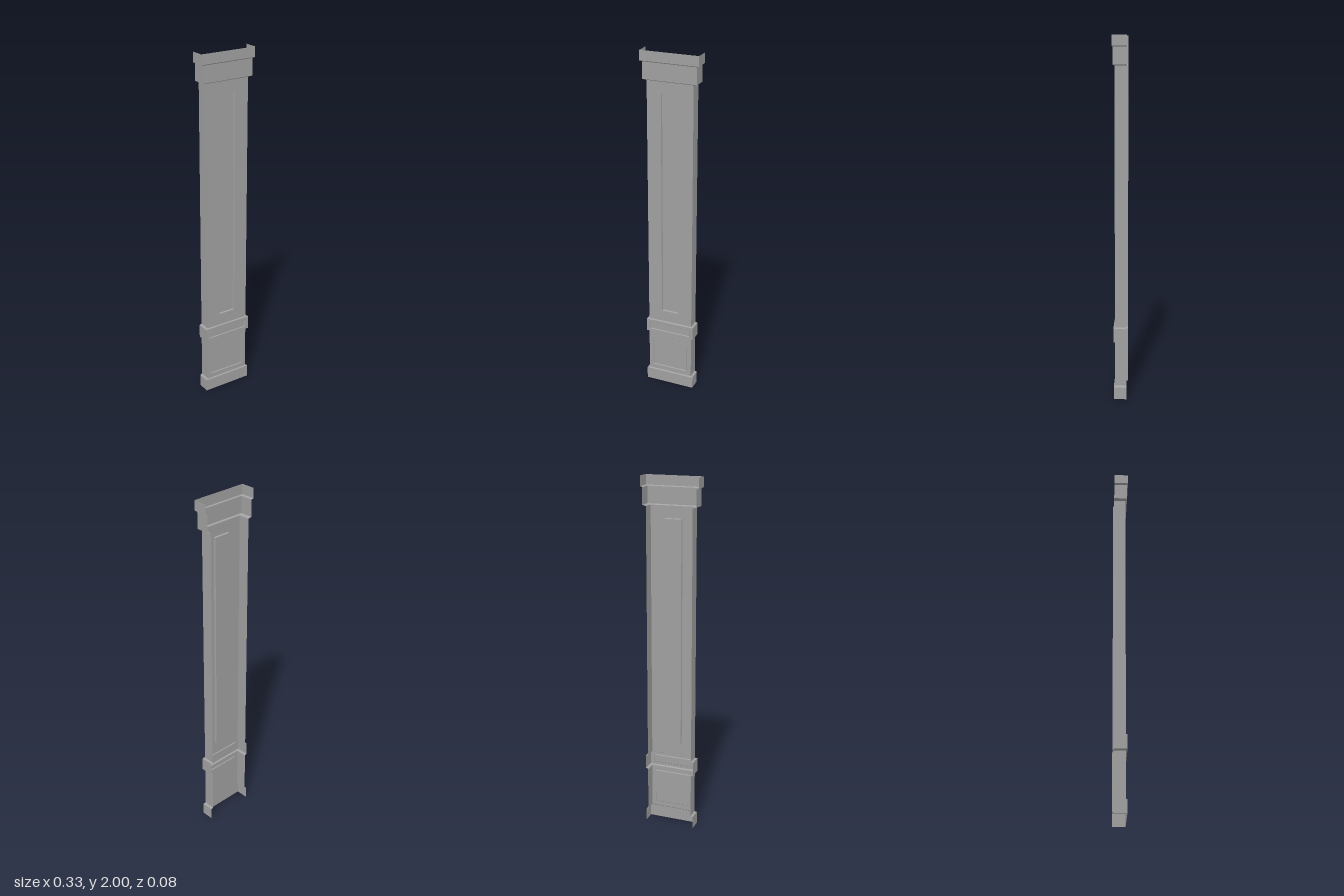
import * as THREE from 'three';

const BACK = -0.04;

// Collects four-cornered faces (counter-clockwise from outside) into one flat-shaded geometry
function quadGeometry(quads) {
  const pos = [];
  for (const [a, b, c, d] of quads) pos.push(...a, ...b, ...c, ...a, ...c, ...d);
  const geo = new THREE.BufferGeometry();
  geo.setAttribute('position', new THREE.Float32BufferAttribute(pos, 3));
  geo.computeVertexNormals();
  return geo;
}

// Corners of an upright rectangle at depth z
const rect = (w, y0, y1, z) => [[-w, y0, z], [w, y0, z], [w, y1, z], [-w, y1, z]];

// Four faces joining one rectangle to another inside it
const ring = (outer, inner) => outer.map((p, i) => {
  const j = (i + 1) % 4;
  return [p, outer[j], inner[j], inner[i]];
});

// U-shaped strip, open at the back, between two levels
const uStrip = (a, b) => {
  const path = ({ y, w, z }) => [[-w, y, BACK], [-w, y, z], [w, y, z], [w, y, BACK]];
  const lo = path(a), hi = path(b);
  return [0, 1, 2].map(i => [lo[i], lo[i + 1], hi[i + 1], hi[i]]);
};

export function createModel() {
  const group = new THREE.Group();
  const stone = new THREE.MeshStandardMaterial({ color: 0xa0a0a0, side: THREE.DoubleSide });
  const add = (name, quads) => {
    const mesh = new THREE.Mesh(quadGeometry(quads), stone);
    mesh.name = name;
    group.add(mesh);
  };

  // Tiers from bottom to top: half width w, front depth z, optional recessed panel
  const tiers = [
    { name: 'plinth', y0: 0, y1: 0.07, w: 0.145, z: 0.031 },
    { name: 'pedestal', y0: 0.075, y1: 0.327, w: 0.132, z: 0.025,
      panel: { w: 0.107, y0: 0.102, y1: 0.3, depth: 0.004, bevel: 0.003 } },
    { name: 'middleBand', y0: 0.332, y1: 0.41, w: 0.145, z: 0.033,
      panel: { w: 0.124, y0: 0.348, y1: 0.395, depth: 0.004, bevel: 0.003 } },
    { name: 'shaft', y0: 0.414, y1: 1.842, w: 0.132, z: 0.025,
      panel: { w: 0.051, y0: 0.482, y1: 1.775, depth: 0.009, bevel: 0.003 } },
    { name: 'neck', y0: 1.847, y1: 1.94, w: 0.153, z: 0.034 },
    { name: 'cap', y0: 1.945, y1: 2, w: 0.165, z: 0.04 },
  ];

  tiers.forEach((t, i) => {
    const bottom = { y: t.y0, w: t.w, z: t.z };
    const top = { y: t.y1, w: t.w, z: t.z };
    const [left, front, right] = uStrip(bottom, top);
    const p = t.panel;
    if (p) {
      // Front frame, sloped reveal and sunken field
      const opening = rect(p.w, p.y0, p.y1, t.z);
      const field = rect(p.w - p.bevel, p.y0 + p.bevel, p.y1 - p.bevel, t.z - p.depth);
      add(t.name, [left, right, ...ring(front, opening)]);
      add(t.name + 'Panel', [...ring(opening, field), field]);
    } else {
      add(t.name, [left, front, right]);
    }
    // Ledge up to the next tier
    const n = tiers[i + 1];
    if (n) add(t.name + 'Ledge', uStrip(top, { y: n.y0, w: n.w, z: n.z }));
  });

  return group;
}
